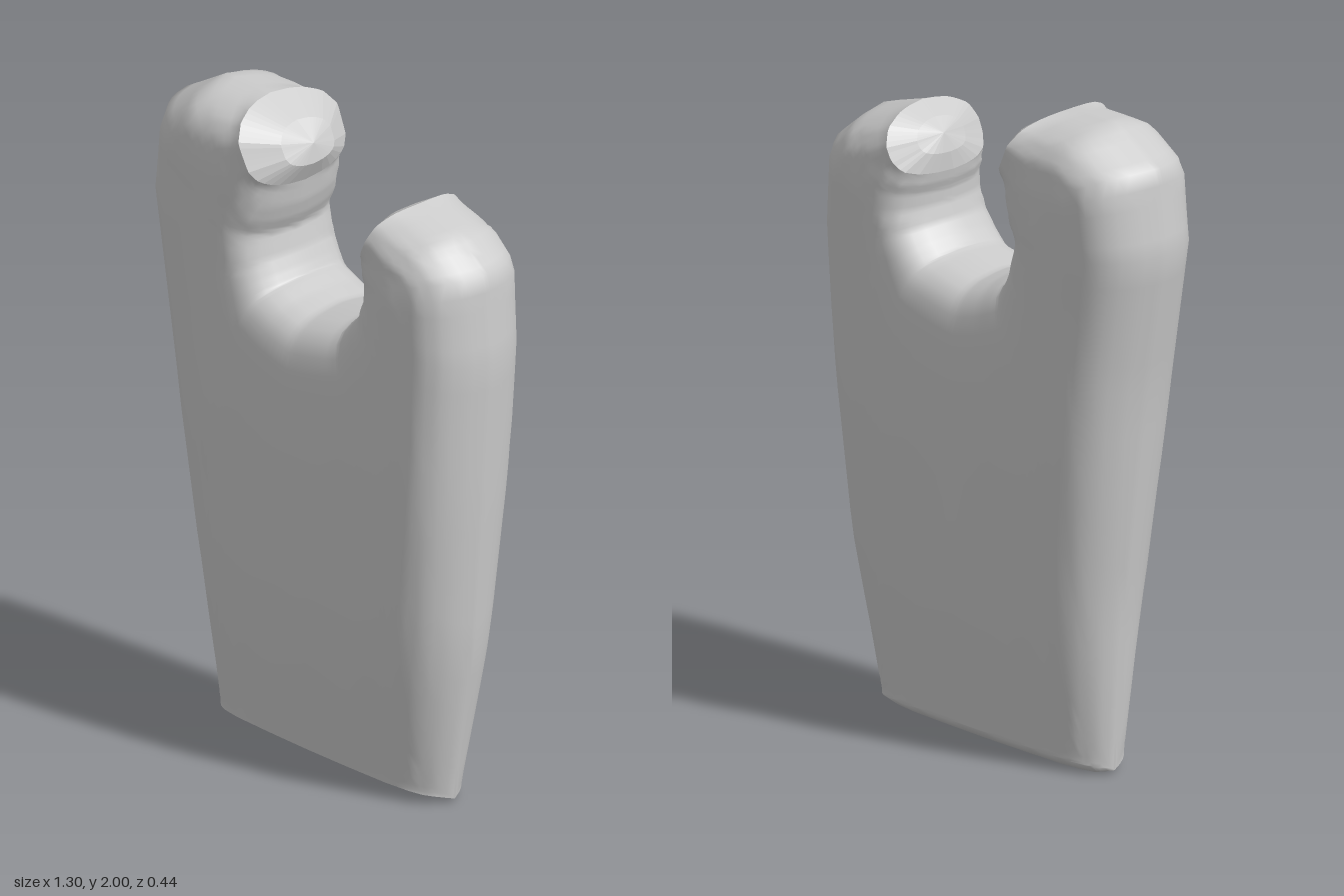
import * as THREE from 'three';
import { mergeVertices, toCreasedNormals } from 'three/addons/utils/BufferGeometryUtils.js';

// Each section runs from an outer point to an inner (notch) point: [ox, oy, ix, iy]
const LEFT = [
  [-0.27, 1.998, -0.125, 1.77], [-0.45, 2.0, -0.135, 1.7], [-0.62, 1.9, -0.15, 1.65],
  [-0.65, 1.64, -0.168, 1.61], [-0.57, 1.2, -0.15, 1.54], [-0.48, 0.5, -0.13, 1.5],
  [-0.44, 0.01, -0.115, 1.475],
];
const BOTTOM = [
  [-0.39, 0, -0.1, 1.47], [-0.2, 0, -0.05, 1.45], [0.03, 0, 0.02, 1.43],
  [0.27, 0, 0.1, 1.445], [0.45, 0, 0.155, 1.455],
];
const RIGHT = [
  [0.5, 0.01, 0.17, 1.46], [0.58, 0.5, 0.2, 1.49], [0.62, 1.0, 0.23, 1.53],
  [0.65, 1.45, 0.245, 1.58], [0.63, 1.72, 0.245, 1.62], [0.52, 1.81, 0.235, 1.65],
  [0.36, 1.86, 0.23, 1.68],
];
const SECTIONS = [...LEFT, ...BOTTOM, ...RIGHT];
const NOTCH = [0.03, 1.6]; // centre of the notch

// Half thickness against height: [y, z]
const FRONT = [[0, 0.145], [0.5, 0.197], [1, 0.217], [1.4, 0.21], [1.7, 0.205], [2, 0.215]];
const BACK = [[0, 0.125], [0.5, 0.182], [1, 0.212], [1.4, 0.215], [1.7, 0.228], [2, 0.245]];

// Share of the thickness against distance from the outer edge and from the notch edge
const OUTER = [[0, 0], [0.008, 0.27], [0.02, 0.46], [0.05, 0.71], [0.1, 0.87], [0.2, 0.945], [0.4, 1]];
const INNER = [[0, 0], [0.005, 0.3], [0.015, 0.54], [0.04, 0.8], [0.08, 0.93], [0.16, 1]];

const STEPS = 5;   // subdivisions between sections
const ACROSS = 24; // subdivisions from outer edge to notch

function lookup(table, u) {
  for (let i = 1; i < table.length; i++) {
    const [u0, v0] = table[i - 1], [u1, v1] = table[i];
    if (u <= u1) return v0 + (v1 - v0) * Math.max(0, (u - u0) / (u1 - u0));
  }
  return table[table.length - 1][1];
}

// Distance from a point to a polyline taken from columns c, c + 1 of the sections
function distance(x, y, list, c) {
  let best = Infinity;
  for (let i = 1; i < list.length; i++) {
    const ax = list[i - 1][c], ay = list[i - 1][c + 1];
    const dx = list[i][c] - ax, dy = list[i][c + 1] - ay;
    const t = THREE.MathUtils.clamp(((x - ax) * dx + (y - ay) * dy) / (dx * dx + dy * dy), 0, 1);
    best = Math.min(best, Math.hypot(x - ax - t * dx, y - ay - t * dy));
  }
  return best;
}

// The sides are rounded more widely towards the base
function roundness(x, y) {
  const outer = Math.min(distance(x, y, LEFT, 0), distance(x, y, RIGHT, 0));
  const spread = 1 + 0.6 * Math.max(0, 1 - y / 1.2);
  return lookup(OUTER, outer / spread) * lookup(INNER, distance(x, y, SECTIONS, 2));
}

// Closed ring of points around one section, which meets the notch edge square on
function makeRing([ox, oy, ix, iy]) {
  const away = new THREE.Vector2(ix - NOTCH[0], iy - NOTCH[1]);
  away.setLength(Math.min(0.25, 0.4 * Math.hypot(ix - ox, iy - oy)));
  const curve = new THREE.CubicBezierCurve(
    new THREE.Vector2(ox, oy),
    new THREE.Vector2(ox + (ix - ox) * 0.4, oy + (iy - oy) * 0.15),
    new THREE.Vector2(ix + away.x, iy + away.y),
    new THREE.Vector2(ix, iy),
  );
  const front = [], back = [];
  for (let k = 0; k <= ACROSS; k++) {
    const { x, y } = curve.getPoint(0.5 - 0.5 * Math.cos(Math.PI * k / ACROSS));
    const r = k === ACROSS ? 0 : roundness(x, y);
    const lift = 0.055 * r * Math.max(0, 1 - y / 0.3);
    front.push([x, y + lift, lookup(FRONT, y) * r]);
    if (k < ACROSS) back.push([x, y + lift * 0.9, -lookup(BACK, y) * r]);
  }
  // Ridge under the base, collapsing onto the rim along the sides
  const ridge = [ox, oy, -0.06 * roundness(ox, oy)];
  return [ridge, ...front, ...back.reverse()];
}

function makeRings() {
  const rings = [];
  for (let i = 0; i < SECTIONS.length - 1; i++) {
    for (let k = 0; k < STEPS; k++) {
      rings.push(makeRing(SECTIONS[i].map((v, c) => v + (SECTIONS[i + 1][c] - v) * k / STEPS)));
    }
  }
  rings.push(makeRing(SECTIONS[SECTIONS.length - 1]));
  return rings;
}

// Skin over a row of rings
function loft(rings) {
  const n = rings[0].length, index = [];
  for (let i = 0; i < rings.length - 1; i++) {
    for (let j = 0; j < n; j++) {
      const a = i * n + j, b = i * n + (j + 1) % n;
      index.push(a, a + n, b + n, a, b + n, b);
    }
  }
  const geometry = new THREE.BufferGeometry();
  geometry.setAttribute('position', new THREE.Float32BufferAttribute(rings.flat(2), 3));
  geometry.setIndex(index);
  return mergeVertices(geometry, 1e-5);
}

// Blunt dome from a rim to an apex, bulged sideways halfway
function domeRings(rim, apex, bulge) {
  const middle = rim.map((p) => p.map((v, c) => v + (apex[c] - v) * 0.5 + (c === 0 ? bulge : 0)));
  return [rim, middle, rim.map(() => apex)];
}

export function createModel() {
  const group = new THREE.Group();
  group.name = 'notchedSlab';
  const smooth = new THREE.MeshStandardMaterial({ color: 0xcccccc });
  const faceted = new THREE.MeshStandardMaterial({ color: 0xcccccc, flatShading: true });
  const add = (name, geometry, material) => {
    const mesh = new THREE.Mesh(geometry, material);
    mesh.name = name;
    group.add(mesh);
  };
  const rings = makeRings();
  add('slabWithTwoArms', toCreasedNormals(loft(rings), Math.PI / 3), smooth);
  // Blunt ends of the arms, facing each other over the notch
  const rightTip = domeRings(rings[0], [-0.11, 1.885, -0.02], 0.02);
  const leftTip = domeRings(rings[rings.length - 1], [0.25, 1.79, -0.02], -0.008);
  add('rightArmTip', loft(rightTip.reverse()), faceted);
  add('leftArmTip', loft(leftTip), faceted);
  return group;
}
